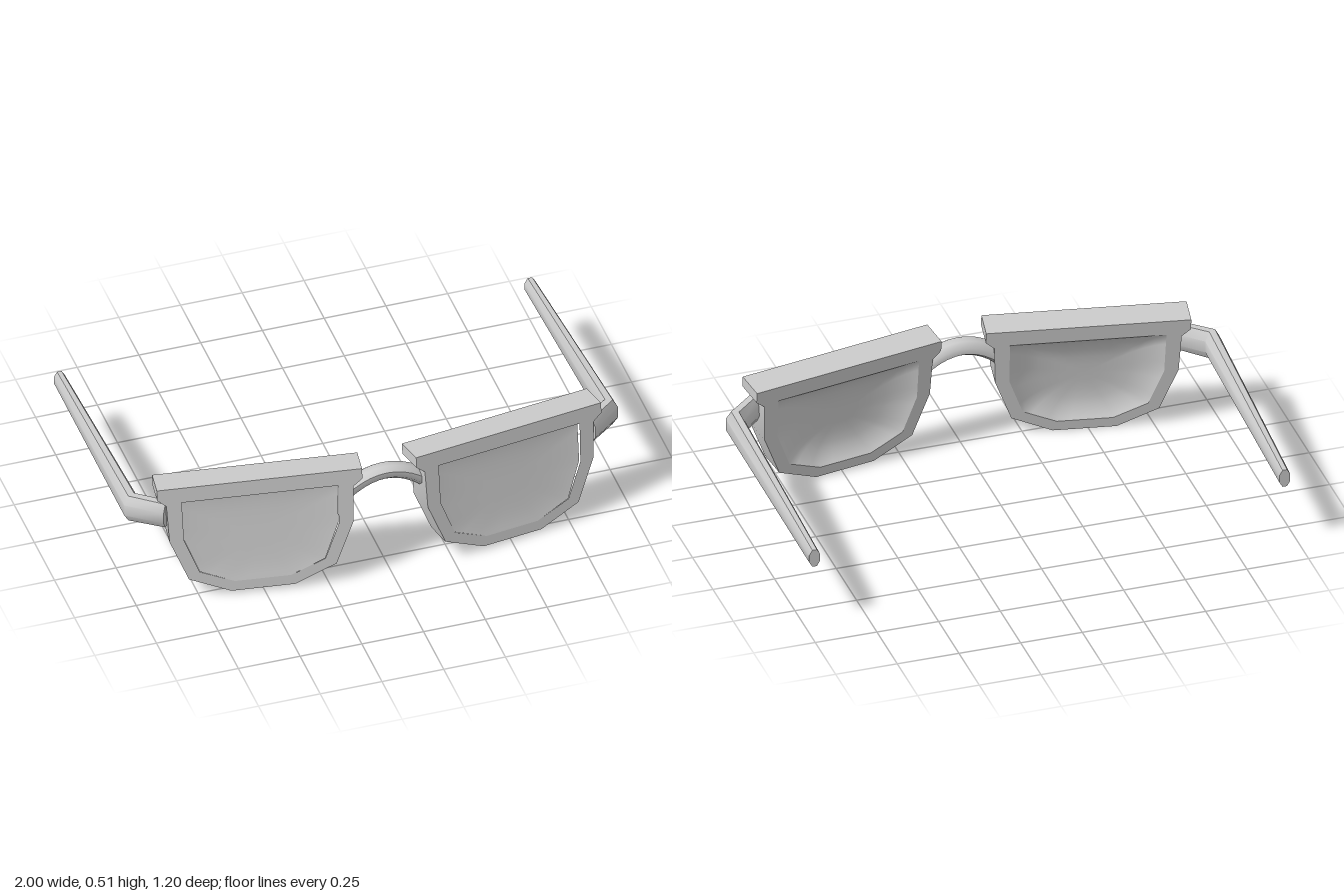
import * as THREE from 'three';
import { toCreasedNormals } from 'three/addons/utils/BufferGeometryUtils.js';

const material = new THREE.MeshStandardMaterial({ color: 0xcccccc });
const THICK = 0.12;

function mesh(name, geometry) {
  const m = new THREE.Mesh(geometry, material);
  m.name = name;
  return m;
}

// Half an outline (x > 0, top to bottom), mirrored into a closed loop
function mirrored(half) {
  const pts = half.map(([x, y]) => new THREE.Vector2(x, y));
  return [...pts, ...pts.slice().reverse().map(p => new THREE.Vector2(-p.x, p.y))];
}

const rimOutline = mirrored([
  [0.40, 0.237], [0.40, 0.192], [0.365, 0.162], [0.358, 0], [0.288, -0.178], [0.125, -0.25],
]);
const lensOutline = mirrored([
  [0.305, 0.172], [0.302, 0], [0.245, -0.15], [0.11, -0.208],
]);

// Eight-sided bar through sections { c: centre, h: half width, v: half height }
function loft(sections) {
  const n = 8, pos = [], idx = [];
  for (const { c, h, v } of sections) {
    for (let j = 0; j < n; j++) {
      const a = (j + 0.5) / n * Math.PI * 2;
      const p = c.clone().addScaledVector(h, Math.cos(a) * 1.08).addScaledVector(v, Math.sin(a) * 1.08);
      pos.push(p.x, p.y, p.z);
    }
  }
  const last = sections.length - 1;
  for (let i = 0; i < last; i++) {
    for (let j = 0; j < n; j++) {
      const a = i * n + j, b = i * n + (j + 1) % n;
      idx.push(a, b, a + n, b, b + n, a + n);
    }
  }
  for (let j = 1; j < n - 1; j++) {
    idx.push(0, j + 1, j, last * n, last * n + j, last * n + j + 1);
  }
  const g = new THREE.BufferGeometry();
  g.setAttribute('position', new THREE.Float32BufferAttribute(pos, 3));
  g.setIndex(idx);
  return toCreasedNormals(g, 0.9);
}

// Shallow dish filling the lens outline; z is set by depth(k, y), k = 1 at the edge
function dish(depth, facing) {
  const ring = [], pos = [], idx = [];
  lensOutline.forEach((p, i) => {
    const q = lensOutline[(i + 1) % lensOutline.length];
    for (let s = 0; s < 4; s++) ring.push(p.clone().lerp(q, s / 4));
  });
  const levels = [1, 0.95, 0.87, 0.75, 0.6, 0.4, 0.2, 0.001], n = ring.length, cy = -0.02;
  for (const k of levels) {
    for (const p of ring) {
      const y = cy + (p.y - cy) * k;
      pos.push(p.x * k, y, facing * (THICK / 2 - depth(k, y)));
    }
  }
  for (let i = 0; i < levels.length - 1; i++) {
    for (let j = 0; j < n; j++) {
      const a = i * n + j, b = i * n + (j + 1) % n;
      // the outline runs clockwise seen from the front
      if (facing > 0) idx.push(a, a + n, b, b, a + n, b + n);
      else idx.push(a, b, a + n, b, b + n, a + n);
    }
  }
  const g = new THREE.BufferGeometry();
  g.setAttribute('position', new THREE.Float32BufferAttribute(pos, 3));
  g.setIndex(idx);
  g.computeVertexNormals();
  return g;
}

// Half-moon rim with its brow bar, and the lens set into it
function createEyepiece(side) {
  const group = new THREE.Group();
  group.name = side > 0 ? 'leftEyepiece' : 'rightEyepiece';
  const shape = new THREE.Shape(rimOutline);
  shape.holes.push(new THREE.Path(lensOutline));
  const rim = new THREE.ExtrudeGeometry(shape, { depth: THICK, bevelEnabled: false });
  rim.translate(0, 0, -THICK / 2);
  group.add(mesh('rim', toCreasedNormals(rim, 0.5)));

  // the front is recessed under the brow and flush at the bottom
  const front = (k, y) => 0.02 * THREE.MathUtils.clamp((y + 0.2) / 0.37, 0, 1) + 0.008 * (1 - k ** 4);
  const back = k => 0.05 * (1 - k ** 4);
  group.add(mesh('lensFront', dish(front, 1)));
  group.add(mesh('lensBack', dish(back, -1)));

  group.rotation.set(-0.105, side * 0.16, 0);
  group.position.set(side * 0.495, 0.26, 0.475);
  return group;
}

// Temple arm: short hinge stub, mitred corner, long tapering bar
function createArm(side) {
  const section = (x, y, z, hx, hz, hy) => ({
    c: new THREE.Vector3(side * x, y, z),
    h: new THREE.Vector3(-hx, 0, -side * hz),
    v: new THREE.Vector3(0, hy, 0),
  });
  return mesh(side > 0 ? 'leftArm' : 'rightArm', loft([
    section(0.855, 0.362, 0.43, 0.02, 0.025, 0.056),
    section(0.967, 0.355, 0.335, 0.033, 0.015, 0.059),
    section(0.953, 0.2875, -0.6, 0.022, 0, 0.037),
  ]));
}

// Arched nose bridge
function createBridge() {
  const sections = [];
  for (let i = 0; i <= 10; i++) {
    const t = i / 5 - 1;
    const slope = Math.atan(-t * 0.85);
    sections.push({
      c: new THREE.Vector3(t * 0.16, 0.427 - 0.068 * t * t, 0.508),
      h: new THREE.Vector3(0, -0.004, -0.04),
      v: new THREE.Vector3(-Math.sin(slope), Math.cos(slope), 0).multiplyScalar(0.03),
    });
  }
  return mesh('bridge', loft(sections));
}

export function createModel() {
  const model = new THREE.Group();
  model.name = 'halfMoonSpectacles';
  for (const side of [1, -1]) model.add(createEyepiece(side), createArm(side));
  model.add(createBridge());
  return model;
}
